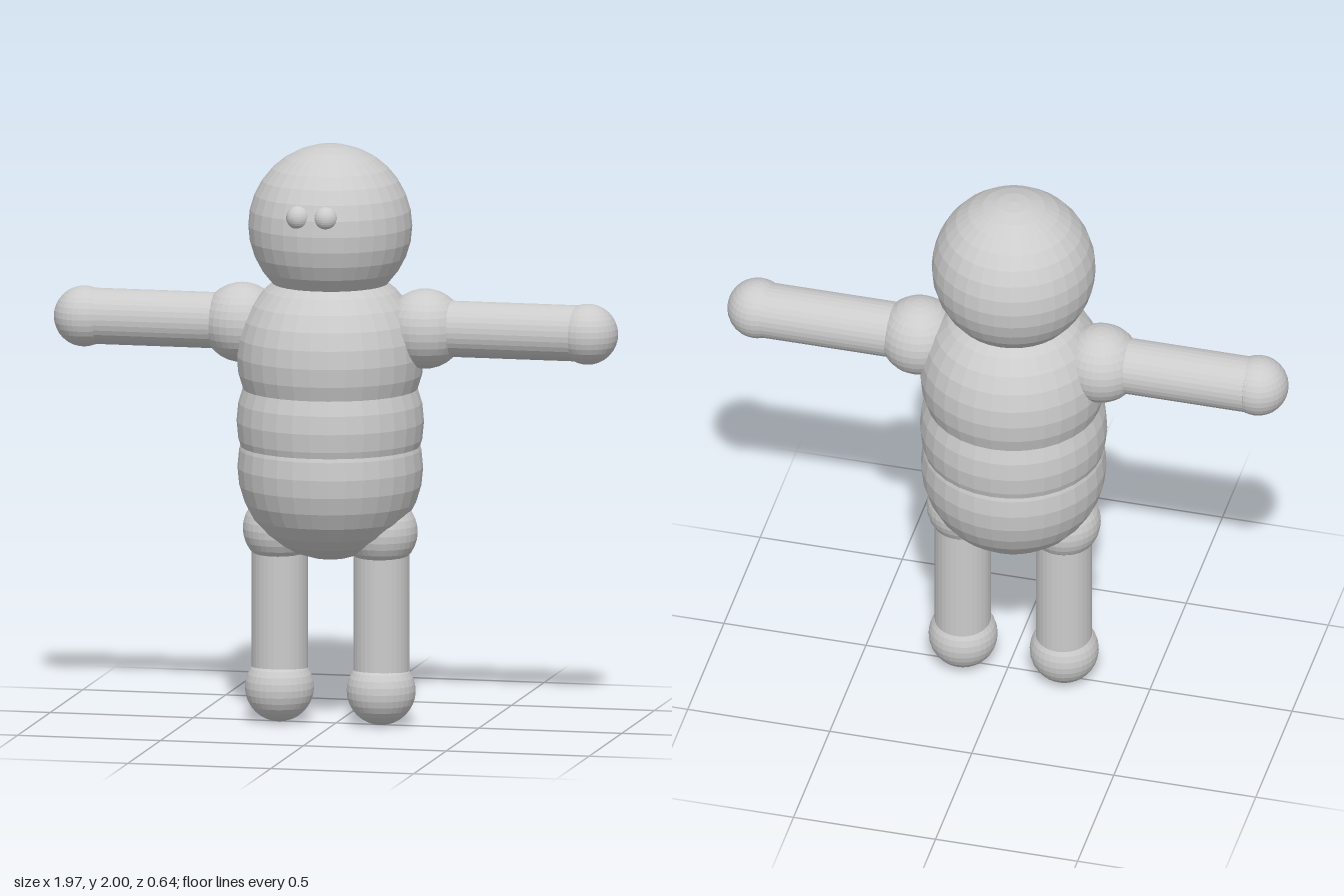
import * as THREE from 'three';

const CX = -0.02; // body axis, slightly off centre

export function createModel() {
  const model = new THREE.Group();
  model.name = 'figure';
  const material = new THREE.MeshStandardMaterial({ color: 0xcccccc, flatShading: true });

  function add(name, geometry, x, y, z) {
    const mesh = new THREE.Mesh(geometry, material);
    mesh.name = name;
    mesh.position.set(x, y, z);
    model.add(mesh);
    return mesh;
  }
  const ball = (name, r, x, y, z = 0) => add(name, new THREE.SphereGeometry(r, 32, 16), x, y, z);
  const rod = (name, r, length, x, y, z = 0) =>
    add(name, new THREE.CylinderGeometry(r, r, length, 32), x, y, z);

  // Head and stacked torso
  ball('head', 0.28, CX, 1.72);
  ball('chest', 0.32, CX, 1.27);
  ball('belly', 0.32, CX, 1.045);
  ball('pelvis', 0.317, CX, 0.885);

  for (const [side, s] of [['left', 1], ['right', -1]]) {
    // Eye
    ball(side + 'Eye', 0.042, -0.027 + s * 0.048, 1.783, 0.248);

    // Arm: shoulder, straight rod and hand
    ball(side + 'Shoulder', 0.137, -0.01 + s * 0.32, 1.373, -0.007);
    rod(side + 'Arm', 0.096, 0.52, s * 0.59, 1.376, -0.005).rotation.z = Math.PI / 2;
    ball(side + 'Hand', 0.104, s * 0.881, 1.375);

    // Leg: hip, straight rod and foot
    const x = CX + s * 0.178;
    ball(side + 'Hip', 0.125, x, 0.667);
    rod(side + 'Leg', 0.096, 0.5, x, 0.4, -0.005);
    ball(side + 'Foot', 0.118, x, 0.118);
  }
  return model;
}
